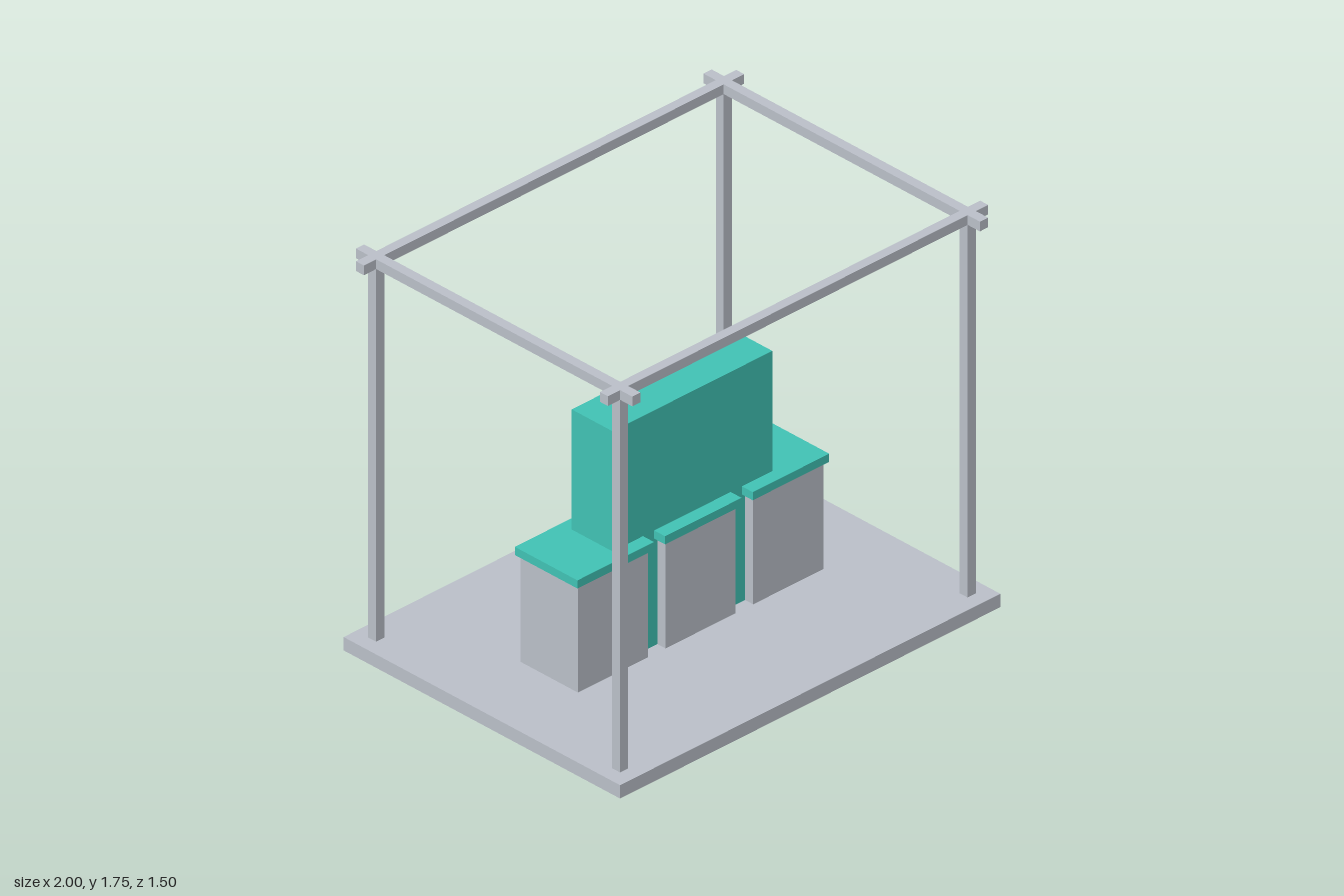
import * as THREE from 'three';

export function createModel() {
  const model = new THREE.Group();
  model.name = 'exhibitionBooth';

  const grey = new THREE.MeshStandardMaterial({ color: 0xb9bec7 });
  grey.name = 'light grey';
  const teal = new THREE.MeshStandardMaterial({ color: 0x40c1b3 });
  teal.name = 'teal';

  // Box centred on x and z, spanning y0 to y1
  function addBox(name, material, width, depth, y0, y1, x = 0, z = 0) {
    const mesh = new THREE.Mesh(new THREE.BoxGeometry(width, y1 - y0, depth), material);
    mesh.position.set(x, (y0 + y1) / 2, z);
    mesh.name = name;
    model.add(mesh);
  }

  const floorTop = 0.06;
  const bar = 0.043;
  const railBottom = 1.707;
  const railTop = 1.75;
  const postX = 0.914;
  const postZ = 0.662;

  // Floor, raised a hair so the panel's foot shows underneath
  addBox('floor', grey, 2, 1.5, 0.001, floorTop);

  // Frame: posts with crossing top rails that overhang the corners
  for (const s of [-1, 1]) {
    addBox('longRail', grey, 2, bar, railBottom, railTop, 0, s * postZ);
    addBox('crossRail', grey, bar, 1.5, railBottom, railTop, s * postX, 0);
    for (const t of [-1, 1]) {
      addBox('post', grey, bar, bar, floorTop, railBottom, s * postX, t * postZ);
    }
  }

  // Central display panel, running down through the counters and floor
  addBox('displayPanel', teal, 0.84, 0.222, 0, 1.1);

  // Three counters with overhanging tops
  for (const x of [-0.461, 0, 0.461]) {
    addBox('counterBase', grey, 0.369, 0.311, floorTop, 0.533, x);
    addBox('counterTop', teal, 0.402, 0.34, 0.533, 0.569, x);
  }

  return model;
}
